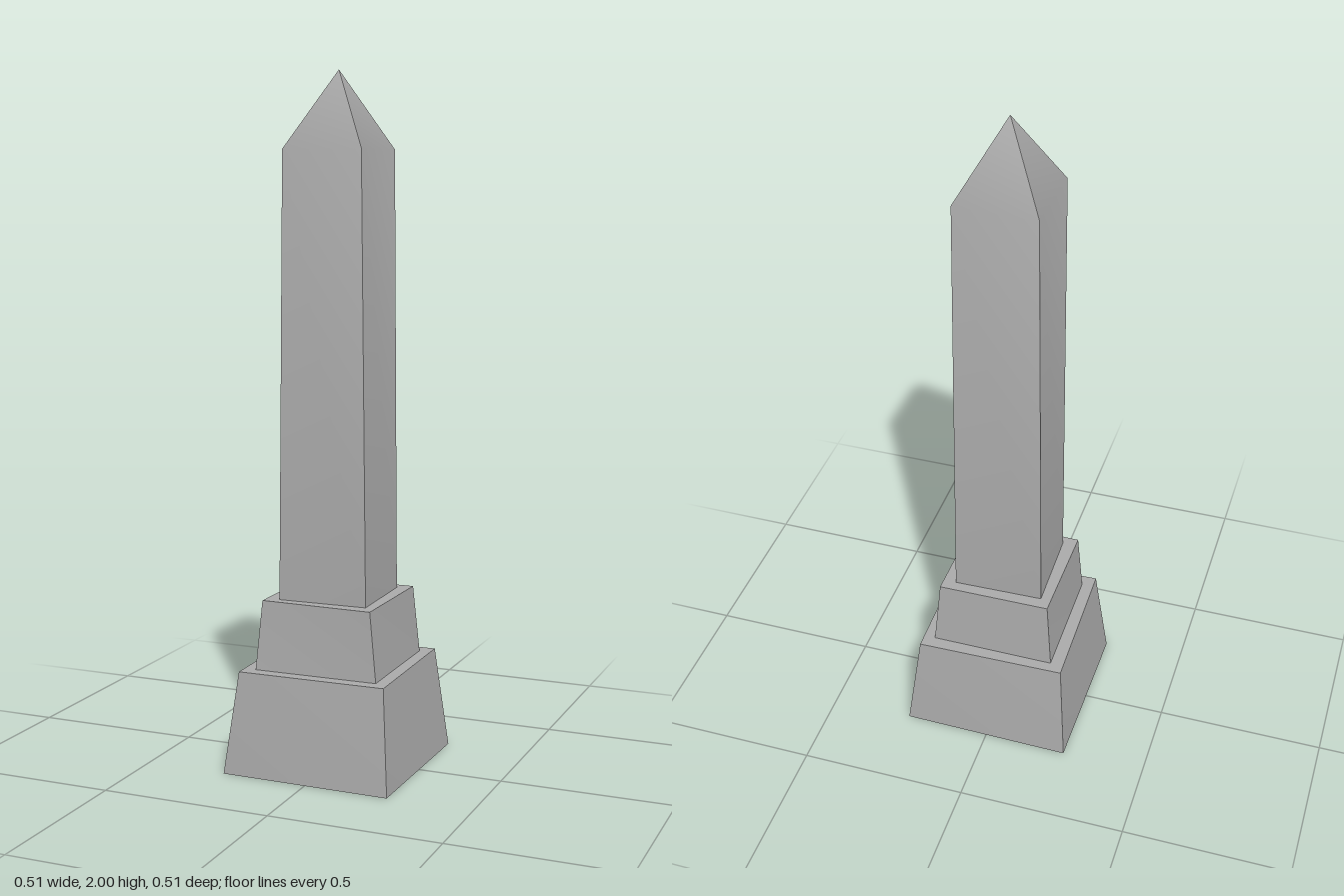
import * as THREE from 'three';
import { toCreasedNormals } from 'three/addons/utils/BufferGeometryUtils.js';

// Joins four-cornered levels [y, [x, z] x 4] into a closed solid; an apex height adds a pointed tip.
function loft(levels, apexY) {
  const pos = [];
  const rings = levels.map(([y, ...corners]) => corners.map(([x, z]) => [x, y, z]));
  const tri = (a, b, c) => pos.push(...a, ...b, ...c);
  const last = rings[rings.length - 1];
  const apex = [0, apexY, 0];
  for (let i = 0; i < 4; i++) {
    const j = (i + 1) % 4;
    for (let k = 0; k < rings.length - 1; k++) {
      const low = rings[k], high = rings[k + 1];
      tri(low[i], high[i], high[j]);
      tri(low[i], high[j], low[j]);
    }
    if (apexY) tri(last[i], apex, last[j]);
  }
  // Flat caps
  const [a, b, c, d] = rings[0];
  tri(a, b, c);
  tri(a, c, d);
  if (!apexY) {
    const [e, f, g, h] = last;
    tri(e, h, g);
    tri(e, g, f);
  }
  const geometry = new THREE.BufferGeometry();
  geometry.setAttribute('position', new THREE.Float32BufferAttribute(pos, 3));
  return toCreasedNormals(geometry, 0.7);
}

export function createModel() {
  const group = new THREE.Group();
  const stone = new THREE.MeshStandardMaterial({ color: 0xaaaaaa });
  stone.name = 'grey stone';
  const add = (name, levels, apexY) => {
    const mesh = new THREE.Mesh(loft(levels, apexY), stone);
    mesh.name = name;
    group.add(mesh);
  };

  // Tapered blocks, each with slightly uneven, hand-hewn corners
  add('lowerPlinth', [
    [0, [-0.251, -0.257], [0.255, -0.251], [0.25, 0.255], [-0.256, 0.249]],
    [0.3, [-0.225, -0.218], [0.218, -0.225], [0.224, 0.217], [-0.217, 0.223]],
  ]);
  add('upperPlinth', [
    [0.3, [-0.185, -0.186], [0.184, -0.185], [0.187, 0.18], [-0.182, 0.185]],
    [0.5, [-0.166, -0.167], [0.168, -0.169], [0.164, 0.169], [-0.17, 0.162]],
  ]);
  // Tall shaft softened into its pointed tip
  add('shaftAndTip', [
    [0.5, [-0.136, -0.13], [0.129, -0.136], [0.135, 0.128], [-0.129, 0.134]],
    [1.78, [-0.116, -0.123], [0.124, -0.117], [0.117, 0.121], [-0.123, 0.115]],
  ], 2);
  return group;
}
